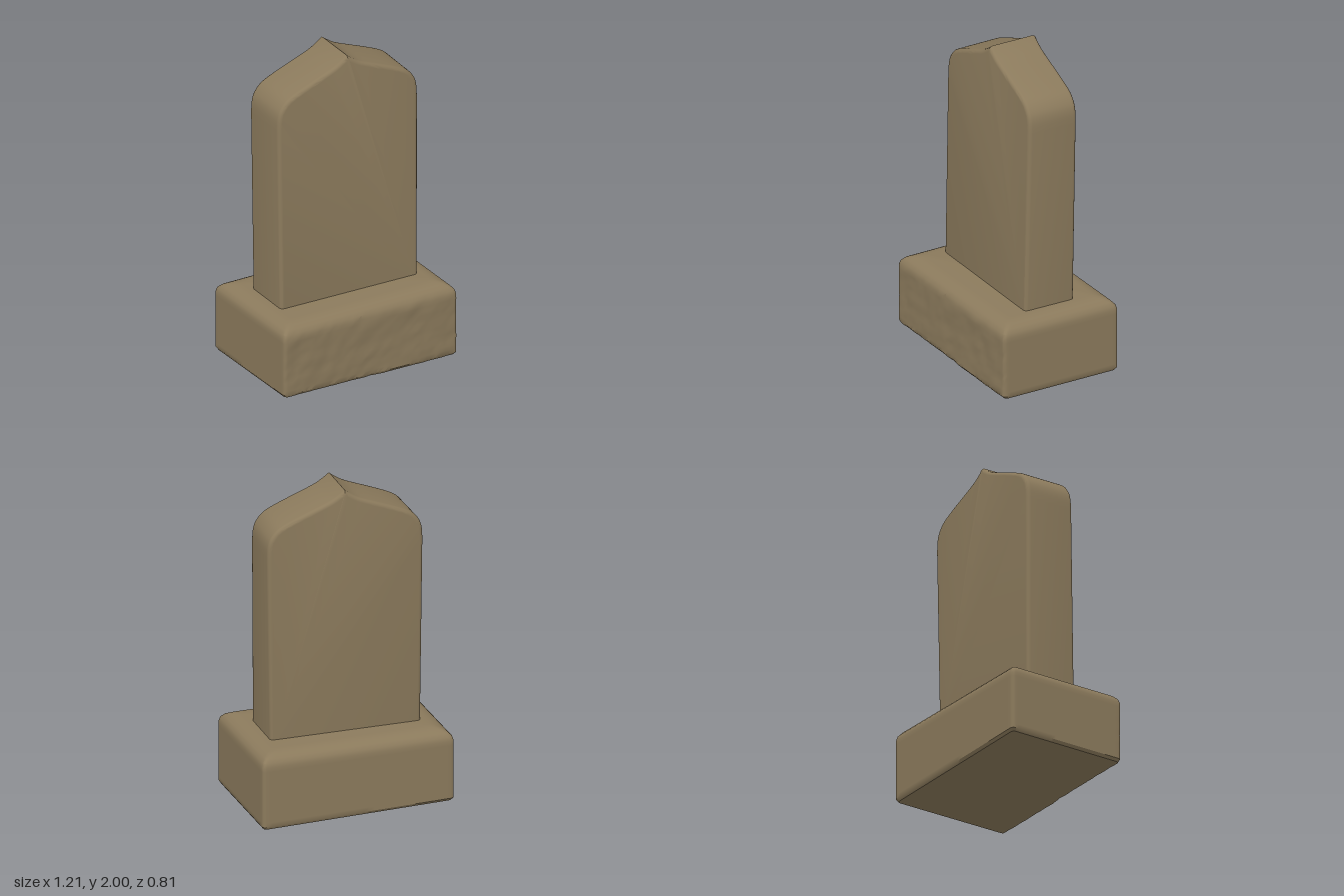
import * as THREE from 'three';
import { toCreasedNormals } from 'three/addons/utils/BufferGeometryUtils.js';

const stone = new THREE.MeshStandardMaterial({ color: 0x8b7a5c });
stone.name = 'weathered stone';

// Smooth value noise from a fixed hash, for the rough-hewn front
function hash(i, j) {
  const s = Math.sin(i * 127.1 + j * 311.7) * 43758.5453;
  return s - Math.floor(s);
}
function noise(x, y) {
  const i = Math.floor(x), j = Math.floor(y), u = x - i, v = y - j;
  const a = THREE.MathUtils.lerp(hash(i, j), hash(i + 1, j), u);
  const b = THREE.MathUtils.lerp(hash(i, j + 1), hash(i + 1, j + 1), u);
  return THREE.MathUtils.lerp(a, b, v) - 0.5;
}

// Rounded four-cornered outline, counter-clockwise from above
function outline(corners, inset, radius, sideSteps) {
  const c = corners.map(([x, z]) => new THREE.Vector2(x - Math.sign(x) * inset, z - Math.sign(z) * inset));
  const toward = (p, q) => p.clone().add(q.clone().sub(p).setLength(radius));
  const points = [];
  c.forEach((p, k) => {
    const next = c[(k + 1) % 4], a = toward(p, c[(k + 3) % 4]), b = toward(p, next);
    points.push(...new THREE.QuadraticBezierCurve(a, p, b).getPoints(4));
    const end = toward(next, p);
    for (let s = 1; s < sideSteps; s++) points.push(b.clone().lerp(end, s / sideSteps));
  });
  return points;
}

// Skin closed rings stacked from bottom to top and cap both ends
function loft(rings) {
  const n = rings[0].length, position = [], index = [];
  rings.forEach((ring) => ring.forEach((p) => position.push(p.x, p.y, p.z)));
  for (let i = 0; i < rings.length - 1; i++) {
    for (let j = 0; j < n; j++) {
      const a = i * n + j, b = i * n + (j + 1) % n;
      index.push(a, b, b + n, a, b + n, a + n);
    }
  }
  [0, rings.length - 1].forEach((i) => {
    const mid = new THREE.Vector3();
    rings[i].forEach((p) => mid.addScaledVector(p, 1 / n));
    const m = position.length / 3;
    position.push(mid.x, mid.y, mid.z);
    for (let j = 0; j < n; j++) {
      const a = i * n + j, b = i * n + (j + 1) % n;
      if (i === 0) index.push(m, b, a);
      else index.push(m, a, b);
    }
  });
  const geometry = new THREE.BufferGeometry();
  geometry.setAttribute('position', new THREE.Float32BufferAttribute(position, 3));
  geometry.setIndex(index);
  return toCreasedNormals(geometry, 0.6);
}

// Plinth: slightly skewed block with a broad rounded shoulder
function createBase() {
  const corners = [[-0.59, 0.4], [0.605, 0.378], [0.594, -0.41], [-0.607, -0.385]];
  const profile = [[0.012, 0], [0, 0.018]];
  for (let k = 1; k <= 14; k++) profile.push([0, 0.018 + k * 0.027]);
  profile.push([0.007, 0.422], [0.026, 0.443], [0.055, 0.459], [0.085, 0.467], [0.115, 0.47]);
  const rings = profile.map(([inset, y]) => outline(corners, inset, 0.025, 36).map((p) => {
    const front = p.y > 0.36 && y < 0.41 ? 1 : 0;
    const rough = front * (0.008 * noise(p.x * 18, y * 18) + 0.006 * noise(p.x * 40, y * 40));
    // The underside rises a little toward one end
    const lift = (0.01 - 0.0165 * p.x) * (1 - y / 0.47);
    return new THREE.Vector3(p.x, y + lift, p.y + rough);
  }));
  const mesh = new THREE.Mesh(loft(rings), stone);
  mesh.name = 'base';
  return mesh;
}

// Upright slab: pointed ogee top, rounded shoulders and softened edges
function createSlab() {
  const half = [[0, 2.003], [0.04, 1.974], [0.1, 1.94], [0.22, 1.893], [0.34, 1.845], [0.415, 1.806],
    [0.46, 1.754], [0.478, 1.7], [0.482, 1.63]];
  const side = new THREE.SplineCurve(half.map(([x, y]) => new THREE.Vector2(x, y))).getPoints(32);
  side.push(new THREE.Vector2(0.465, 0.42));
  const mirrored = side.slice(1).map((p) => new THREE.Vector2(-p.x, p.y));
  const shape = new THREE.Shape([...mirrored.reverse(), ...side].reverse());
  const bevel = 0.024;
  const geometry = new THREE.ExtrudeGeometry(shape, {
    depth: 1 - 2 * bevel, bevelEnabled: true, bevelSize: bevel, bevelThickness: bevel,
    bevelOffset: -bevel, bevelSegments: 4, curveSegments: 1,
  });
  // Thin the slab toward the top and narrow it slightly toward the front
  const pos = geometry.attributes.position;
  for (let i = 0; i < pos.count; i++) {
    const y = pos.getY(i), t = (y - 0.47) / 1.53;
    const d = pos.getZ(i) + bevel;
    const back = -0.181 - 0.011 * t, front = 0.155 - 0.028 * t;
    // Keep the bevel depth constant while the middle stretches
    let z;
    if (d < 0.03) z = back + d;
    else if (d > 0.97) z = front - (1 - d);
    else z = THREE.MathUtils.lerp(back, front, d);
    const f = THREE.MathUtils.clamp((z - back) / (front - back), 0, 1);
    pos.setXYZ(i, pos.getX(i) * (1.005 - 0.02 * f * t) + 0.005 * t, y, z);
  }
  const mesh = new THREE.Mesh(toCreasedNormals(geometry, 0.6), stone);
  mesh.name = 'slab';
  return mesh;
}

export function createModel() {
  const group = new THREE.Group();
  group.name = 'headstone';
  group.add(createBase(), createSlab());
  return group;
}
